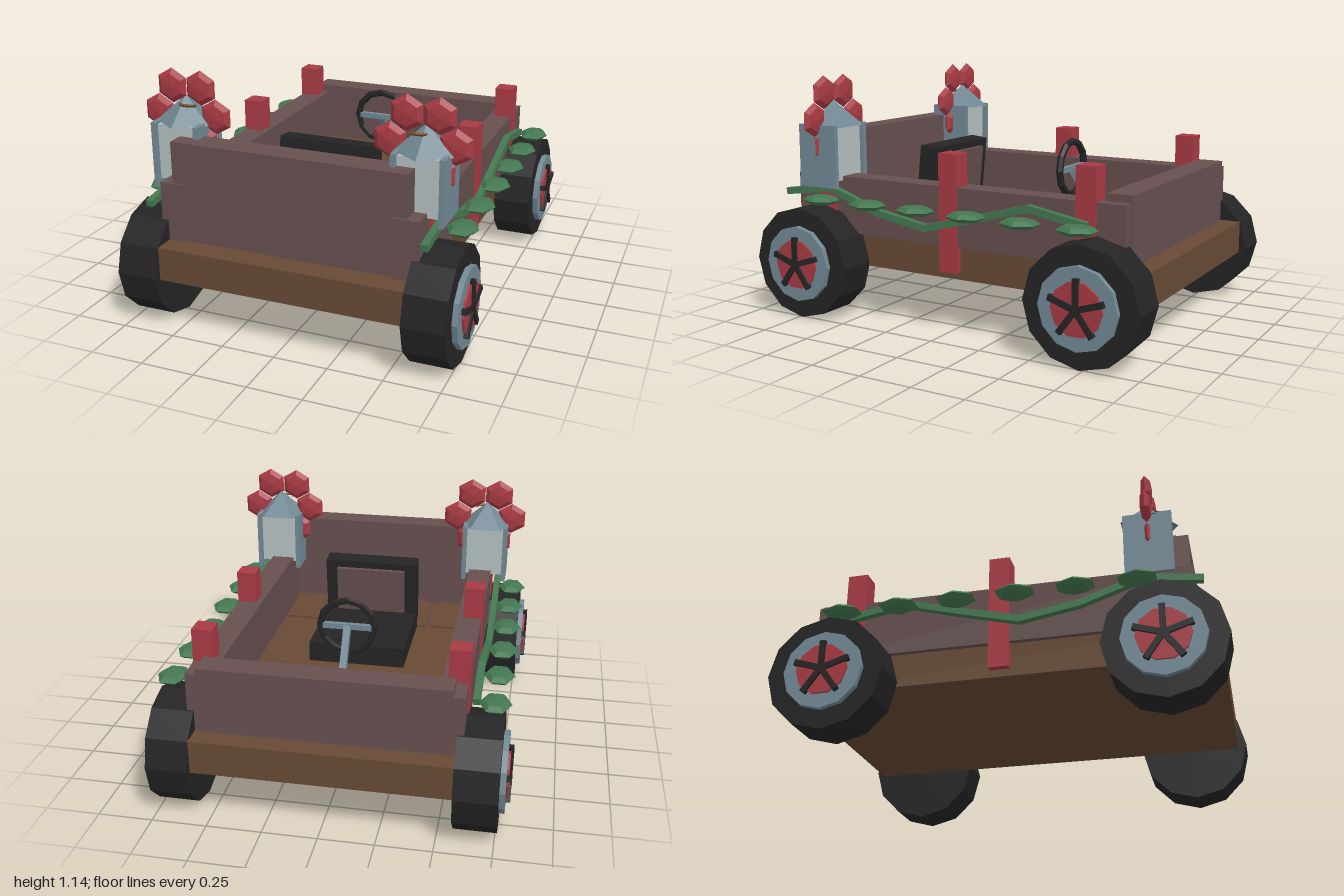
import * as THREE from 'three';

const mat = (name, color) => {
  const m = new THREE.MeshStandardMaterial({ color });
  m.name = name;
  return m;
};

export function createModel() {
  const root = new THREE.Group();
  root.name = 'wagon';
  const plum = mat('plum wood', 0x664f4f);
  const brown = mat('brown wood', 0x674a34);
  const black = mat('black', 0x242424);
  const red = mat('red', 0xa83a43);
  const steel = mat('blue grey metal', 0x728995);
  const glass = mat('pale glass', 0xb4c0c0);
  const green = mat('leaf green', 0x437750);
  const copper = mat('copper', 0x7d4d28);

  // Faceted mesh: split vertices so every face keeps its own normal
  const add = (parent, name, geo, material, x = 0, y = 0, z = 0) => {
    const g = geo.index ? geo.toNonIndexed() : geo;
    g.computeVertexNormals();
    const mesh = new THREE.Mesh(g, material);
    mesh.name = name;
    mesh.position.set(x, y, z);
    parent.add(mesh);
    return mesh;
  };
  // Box given by its limits on each axis
  const box = (parent, name, material, x0, x1, y0, y1, z0, z1) =>
    add(parent, name, new THREE.BoxGeometry(x1 - x0, y1 - y0, z1 - z0), material,
      (x0 + x1) / 2, (y0 + y1) / 2, (z0 + z1) / 2);
  const group = (parent, name, x = 0, y = 0, z = 0) => {
    const g = new THREE.Group();
    g.name = name;
    g.position.set(x, y, z);
    parent.add(g);
    return g;
  };
  const disc = (r, h, n) => new THREE.CylinderGeometry(r, r, h, n).rotateZ(-Math.PI / 2);

  // Chassis and the open body
  box(root, 'chassis', brown, -0.575, 0.575, 0.245, 0.4, -0.965, 0.96);
  box(root, 'frontBoard', plum, -0.545, 0.545, 0.4, 0.86, 0.725, 0.848);
  box(root, 'backBoard', plum, -0.55, 0.55, 0.4, 0.703, -0.87, -0.747);
  for (let i = -2; i <= 2; i++) {
    const x = i * 0.195;
    box(root, 'floorPlank', brown, x - 0.083, x + 0.083, 0.395, 0.41, 0.4, 0.73);
  }

  // Seat, facing the steering wheel
  const seat = group(root, 'seat');
  box(seat, 'seatCushion', black, -0.235, 0.235, 0.4, 0.5, -0.1, 0.4);
  const back = group(seat, 'seatBack', 0, 0.615, 0.374);
  back.rotation.x = -0.1;
  box(back, 'backRest', black, -0.235, 0.235, -0.17, 0.17, -0.045, 0.045);
  box(back, 'backPad', plum, -0.175, 0.175, -0.1, 0.135, -0.065, -0.04);

  // Steering wheel with cross bar and sloping column
  const steering = group(root, 'steering', 0, 0.7, -0.312);
  add(steering, 'steeringRim', new THREE.TorusGeometry(0.128, 0.017, 6, 12), black);
  box(steering, 'crossBar', steel, -0.115, 0.115, -0.013, 0.013, -0.012, 0.012);
  const column = add(steering, 'steeringColumn', new THREE.BoxGeometry(0.032, 0.36, 0.032),
    steel, 0, -0.15, -0.1);
  column.rotation.x = Math.atan2(0.2, 0.3);

  // Wheel with its axle along +x
  const buildWheel = (side, z) => {
    const w = group(root, 'wheel', side * 0.665, 0.265, z);
    if (side < 0) w.rotation.y = Math.PI;
    add(w, 'tire', disc(0.265, 0.19, 12), black);
    add(w, 'rim', disc(0.18, 0.04, 12), steel, 0.1);
    add(w, 'hubDisc', disc(0.118, 0.04, 10), red, 0.11);
    for (let i = 0; i < 5; i++) {
      const spoke = group(w, 'spoke');
      spoke.rotation.x = i * Math.PI * 2 / 5;
      box(spoke, 'spokeBar', black, 0.1, 0.141, 0, 0.13, -0.013, 0.013);
    }
  };

  // Lantern with five-sided roof and a ring of six petals
  const buildLantern = (side) => {
    const l = group(root, 'lantern', side * 0.56, 0, 0.682);
    box(l, 'lanternGlass', glass, -0.1, 0.1, 0.65, 0.905, -0.085, 0.085);
    for (const s of [-1, 1]) {
      const x = s * 0.105;
      box(l, 'lanternPanel', steel, x - 0.011, x + 0.011, 0.62, 0.915, -0.107, 0.107);
    }
    add(l, 'lanternRoof', new THREE.ConeGeometry(0.137, 0.12, 5), steel, 0, 0.965, -0.009);
    const handle = new THREE.TorusGeometry(0.036, 0.007, 4, 6, Math.PI).rotateX(Math.PI / 2 - 0.2);
    add(l, 'lanternHandle', handle, copper, side * -0.025, 0.985, 0.015);
    const flower = group(l, 'flower', side * -0.012, 0.94, 0);
    for (let i = 0; i < 6; i++) {
      const a = i * Math.PI / 3;
      const petal = new THREE.SphereGeometry(0.08, 6, 4).rotateX(Math.PI / 2)
        .rotateZ(Math.PI / 2).scale(1, 1, 0.33);
      add(flower, 'petal', petal, red, Math.cos(a) * 0.142, Math.sin(a) * 0.142, 0);
    }
  };

  // Straight-segment garland with hanging leaves
  const vine = [[0.9, 0.58], [0.64, 0.615], [0.37, 0.525], [0.1, 0.48],
    [-0.17, 0.55], [-0.43, 0.622], [-0.7, 0.575]];
  const buildGarland = (side) => {
    const g = group(root, 'garland', side * 0.635);
    for (let i = 0; i < vine.length - 1; i++) {
      const [z0, y0] = vine[i], [z1, y1] = vine[i + 1];
      const len = Math.hypot(z1 - z0, y1 - y0);
      const seg = add(g, 'vine', new THREE.BoxGeometry(0.032, 0.032, len + 0.008), green,
        0, (y0 + y1) / 2, (z0 + z1) / 2);
      seg.rotation.x = Math.atan2(y1 - y0, z0 - z1);
      // slope rises toward the back, so the segment is pitched about x
      const leaf = new THREE.SphereGeometry(0.071, 6, 4).scale(1, 0.35, 1.32);
      add(g, 'leaf', leaf, green, side * 0.08, 0.572, 0.632 - i * 0.266);
    }
  };

  for (const side of [-1, 1]) {
    const x0 = side < 0 ? -0.6 : 0.485;
    box(root, 'sideWall', plum, x0, x0 + 0.115, 0.4, 0.67, -0.862, 0.862);
    for (const z of [-0.682, 0, 0.682]) {
      box(root, 'stake', red, side * 0.56 - 0.046, side * 0.56 + 0.046, 0.28, 0.82, z - 0.047, z + 0.047);
    }
    for (const z of [-0.735, 0.735]) buildWheel(side, z);
    buildLantern(side);
    buildGarland(side);
  }
  return root;
}
